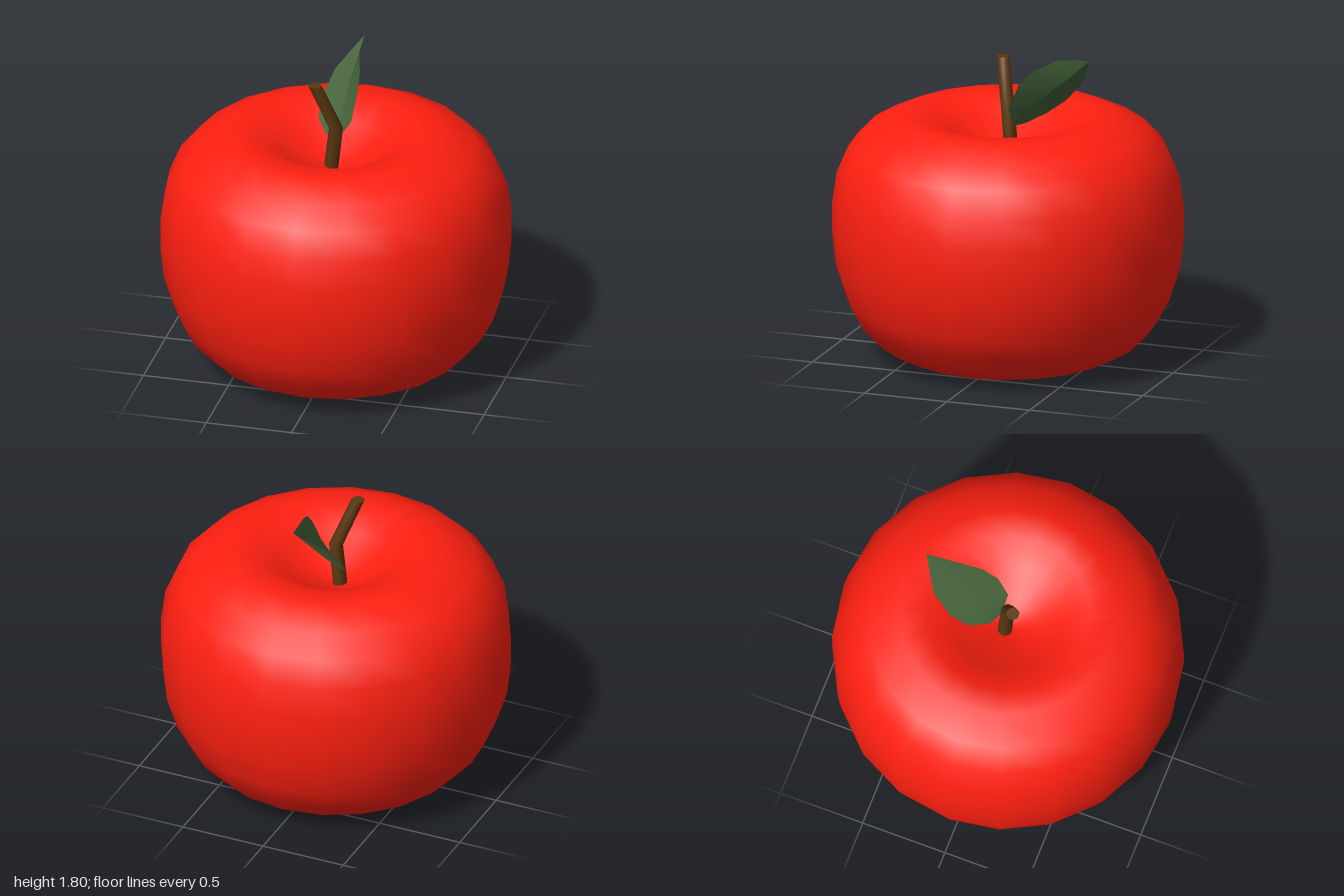
import * as THREE from 'three';

const material = (color, side = THREE.FrontSide) => {
  const m = new THREE.MeshStandardMaterial({ side });
  m.color.set(color);
  return m;
};

function addMesh(group, name, geometry, mat) {
  const mesh = new THREE.Mesh(geometry, mat);
  mesh.name = name;
  group.add(mesh);
  return mesh;
}

// Smooth strip between two edges that share the same number of points
function strip(edgeA, edgeB) {
  const positions = [];
  const index = [];
  edgeA.forEach((p, i) => {
    positions.push(...p, ...edgeB[i]);
    if (i > 0) {
      const k = 2 * i;
      index.push(k - 2, k - 1, k, k - 1, k + 1, k);
    }
  });
  const g = new THREE.BufferGeometry();
  g.setAttribute('position', new THREE.Float32BufferAttribute(positions, 3));
  g.setIndex(index);
  g.computeVertexNormals();
  return g;
}

export function createModel() {
  const group = new THREE.Group();
  group.name = 'apple';

  // Fruit body: turned profile with a dimple at the bottom and the top
  const profile = [
    [0, 0.11], [0.1, 0.1], [0.25, 0.05], [0.42, 0.005], [0.6, 0.035], [0.74, 0.105],
    [0.85, 0.22], [0.92, 0.35], [0.98, 0.54], [1, 0.73], [1, 0.9], [0.975, 1.08],
    [0.91, 1.235], [0.8, 1.35], [0.62, 1.435], [0.47, 1.43], [0.32, 1.35],
    [0.16, 1.25], [0, 1.2],
  ].map(([r, y]) => new THREE.Vector2(r, y));
  addMesh(group, 'fruitBody', new THREE.LatheGeometry(profile, 20), material(0xff1f10));

  // Stem: a cylinder whose rings follow a bent line
  const stemLine = [[-0.035, 1.17, -0.01], [0, 1.46, 0], [-0.105, 1.745, 0.07]];
  const stemGeometry = new THREE.CylinderGeometry(0.038, 0.042, 2, 10, 2);
  const pos = stemGeometry.attributes.position;
  for (let i = 0; i < pos.count; i++) {
    const [x, y, z] = stemLine[Math.round(pos.getY(i)) + 1];
    pos.setXYZ(i, pos.getX(i) + x, y, pos.getZ(i) + z);
  }
  stemGeometry.computeVertexNormals();
  const brown = material(0x5a370f);
  addMesh(group, 'stem', stemGeometry, brown);

  // Small dark blossom end under the fruit
  const blossom = addMesh(group, 'blossomEnd', new THREE.CylinderGeometry(0.045, 0.045, 0.05, 10), brown);
  blossom.position.y = 0.115;

  // Leaf: two halves folded along the midrib
  const base = [0, 1.37, -0.04];
  const tip = [0.035, 1.81, -0.51];
  const leftEdge = [base, [-0.08, 1.37, -0.08], [-0.15, 1.42, -0.18], [-0.16, 1.5, -0.29], [-0.11, 1.63, -0.41], tip];
  const midrib = [base, [-0.01, 1.45, -0.09], [0, 1.54, -0.2], [0.005, 1.62, -0.29], [0.02, 1.71, -0.4], tip];
  const rightEdge = [base, [0.08, 1.49, -0.03], [0.1, 1.64, -0.1], [0.09, 1.73, -0.19], [0.055, 1.8, -0.32], tip];
  const green = material(0x45633a, THREE.DoubleSide);
  const leaf = new THREE.Group();
  leaf.name = 'leaf';
  addMesh(leaf, 'leafHalfLower', strip(leftEdge, midrib), green);
  addMesh(leaf, 'leafHalfUpper', strip(midrib, rightEdge), green);
  group.add(leaf);

  return group;
}
